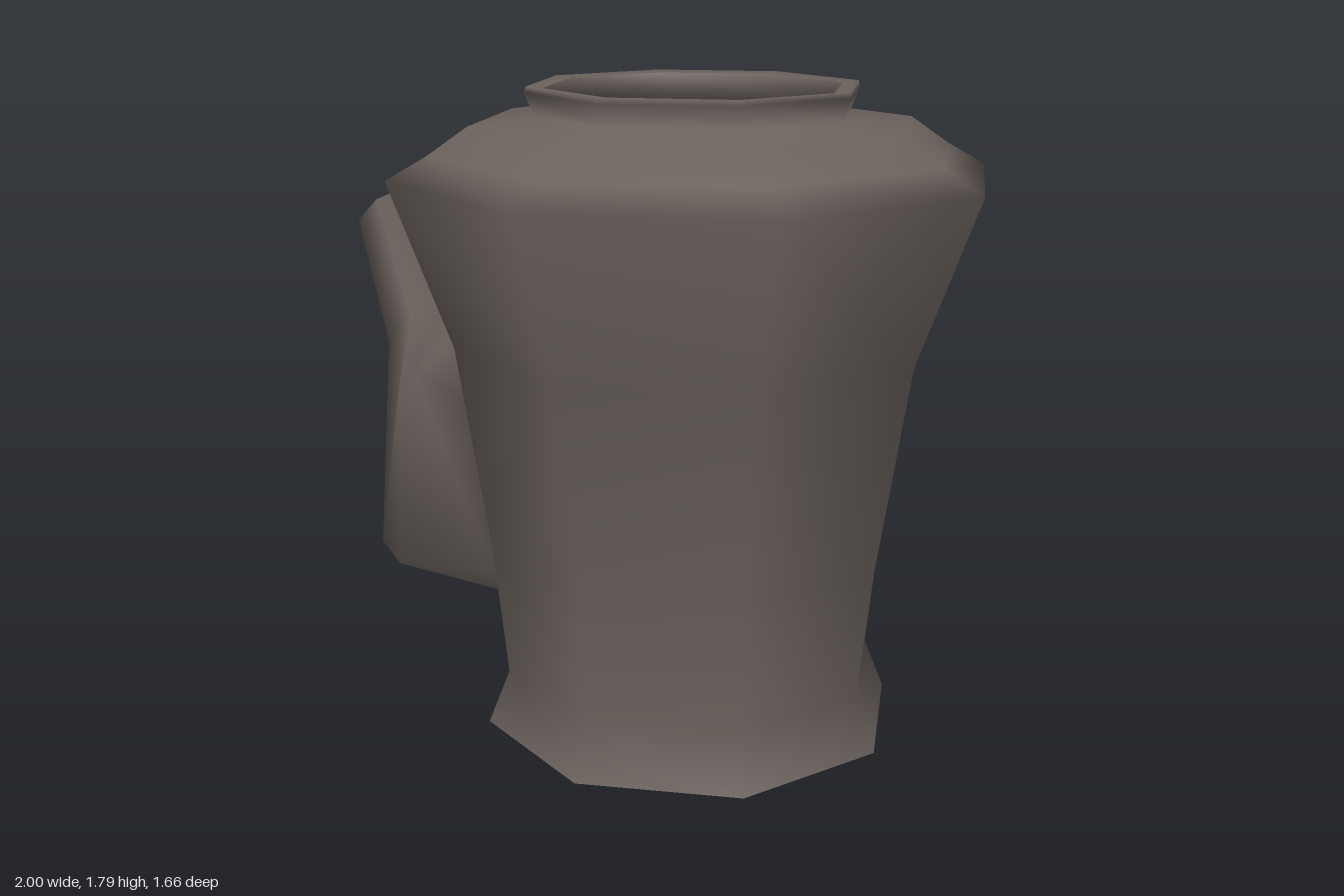
import * as THREE from 'three';

const material = new THREE.MeshStandardMaterial({ color: 0x6b625d, side: THREE.DoubleSide });
const CENTRE_X = 0.17;

// Eight-sided turned part, profile given as [radius, height]
function turned(name, profile) {
  const points = profile.map(([r, y]) => new THREE.Vector2(r, y));
  const mesh = new THREE.Mesh(new THREE.LatheGeometry(points, 8), material);
  mesh.name = name;
  mesh.position.x = CENTRE_X;
  return mesh;
}

// Six-sided ring: bottom, lower side, upper side and top as [x, y, halfWidth], mirrored in z
function ring([bottom, low, high, top], shift) {
  const side = ([x, y, w], s) => [x, y, shift + s * w];
  return [side(bottom, 0), side(low, 1), side(high, 1), side(top, 0), side(high, -1), side(low, -1)];
}

// Skin a series of six-sided rings
function loft(name, rings) {
  const index = [];
  for (let i = 0; i < rings.length - 1; i++) {
    for (let j = 0; j < 6; j++) {
      const a = i * 6 + j, b = i * 6 + (j + 1) % 6;
      index.push(a, b, b + 6, a, b + 6, a + 6);
    }
  }
  const geometry = new THREE.BufferGeometry();
  geometry.setAttribute('position', new THREE.Float32BufferAttribute(rings.flat(2), 3));
  geometry.setIndex(index);
  geometry.computeVertexNormals();
  const mesh = new THREE.Mesh(geometry, material);
  mesh.name = name;
  return mesh;
}

export function createModel() {
  const model = new THREE.Group();
  model.name = 'pot';

  // Flared body, sloping shoulder and collar in one smooth skin
  model.add(turned('body', [
    [0.59, 0], [0.53, 0.15], [0.57, 0.52], [0.66, 1.1], [0.828, 1.555],
    [0.72, 1.615], [0.61, 1.69], [0.435, 1.715], [0.46, 1.775], [0.455, 1.79], [0.41, 1.785],
  ]));

  // Hollow inside
  model.add(turned('innerWall', [
    [0.41, 1.785], [0.385, 1.74], [0.44, 1.69], [0.59, 1.66], [0.79, 1.54],
    [0.63, 1.1], [0.54, 0.52], [0.5, 0.15],
  ]));
  model.add(turned('innerFloor', [[0.5, 0.15], [0, 0.15]]));

  // Recessed underside
  model.add(turned('footRing', [[0.555, 0.06], [0.59, 0]]));
  model.add(turned('underside', [[0, 0.06], [0.555, 0.06]]));

  // Spout: root on the body, wide belly, narrow neck, slanted tip
  const root = ring([[-0.36, 0.2, 0], [-0.23, 0.45, 0.395], [-0.27, 0.95, 0.435], [-0.48, 1.18, 0]], 0);
  const tip = ring([[-1, 1.29, 0], [-0.975, 1.33, 0.085], [-0.9, 1.4, 0.085], [-0.86, 1.43, 0]], -0.01);
  const spout = loft('spout', [
    root,
    ring([[-0.44, 0.36, 0], [-0.59, 0.4, 0.365], [-0.58, 0.95, 0.29], [-0.55, 1.05, 0]], 0.02),
    ring([[-0.75, 0.32, 0], [-0.72, 0.42, 0.31], [-0.7, 0.86, 0.24], [-0.64, 1.075, 0]], 0),
    ring([[-0.88, 0.93, 0], [-0.86, 0.97, 0.1], [-0.77, 1.06, 0.1], [-0.71, 1.1, 0]], -0.01),
    tip,
  ]);
  // Blend the root's shading into the body
  root.forEach(([x, , z], i) => {
    const out = new THREE.Vector3(x - CENTRE_X, 0, z).normalize();
    spout.geometry.attributes.normal.setXYZ(i, out.x, out.y, out.z);
  });
  model.add(spout);

  // Hollow end of the spout
  const shrink = (points, s, dx, dy) => points.map(([x, y, z]) =>
    [-0.933 + (x + 0.933) * s + dx, 1.363 + (y - 1.363) * s + dy, z * s]);
  const lip = shrink(tip, 0.78, 0, 0);
  model.add(loft('spoutLip', [tip, lip]));
  model.add(loft('spoutBore', [lip, shrink(tip, 0.74, 0.11, -0.28), shrink(tip, 0, 0.11, -0.28)]));

  return model;
}
